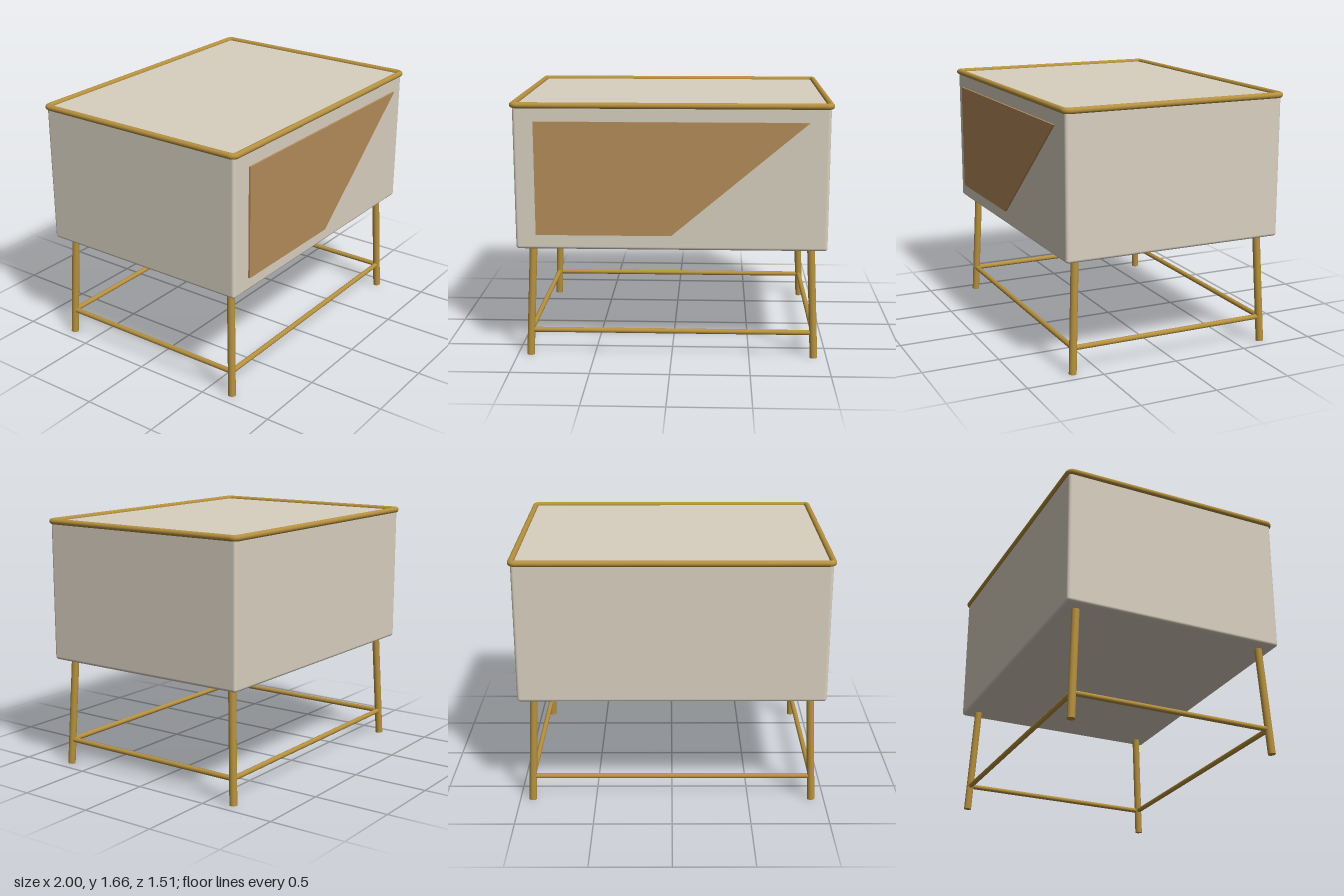
import * as THREE from 'three';
import { RoundedBoxGeometry } from 'three/addons/geometries/RoundedBoxGeometry.js';

const cream = new THREE.MeshStandardMaterial({ color: 0xd8d0c0 });
const brass = new THREE.MeshStandardMaterial({ color: 0xb5903f });
const wood = new THREE.MeshStandardMaterial({ color: 0xb48c5a });

const v = (x, y, z) => new THREE.Vector3(x, y, z);

// Round bar between two points
function bar(name, a, b, r, segments = 24) {
  const dir = b.clone().sub(a);
  const mesh = new THREE.Mesh(new THREE.CylinderGeometry(r, r, dir.length(), segments), brass);
  mesh.name = name;
  mesh.position.copy(a).lerp(b, 0.5);
  mesh.quaternion.setFromUnitVectors(v(0, 1, 0), dir.normalize());
  return mesh;
}

// Rectangular tube ring with bent corners
function topRail(hx, hz, y, r, bend) {
  const rail = new THREE.Group();
  rail.name = 'topRail';
  const x = hx - bend, z = hz - bend;
  for (const s of [-1, 1]) {
    rail.add(bar('longRail', v(-x, y, s * hz), v(x, y, s * hz), r));
    rail.add(bar('shortRail', v(s * hx, y, -z), v(s * hx, y, z), r));
  }
  // Quarter bends, one per corner, turning around the ring
  [[x, z], [-x, z], [-x, -z], [x, -z]].forEach(([cx, cz], i) => {
    const geo = new THREE.TorusGeometry(bend, r, 24, 10, Math.PI / 2);
    geo.rotateX(Math.PI / 2).rotateY(-i * Math.PI / 2);
    const corner = new THREE.Mesh(geo, brass);
    corner.name = 'railCorner';
    corner.position.set(cx, y, cz);
    rail.add(corner);
  });
  return rail;
}

export function createModel() {
  const model = new THREE.Group();
  model.name = 'cabinetOnStand';

  // Cabinet body
  const bottom = 0.725, top = 1.637;
  const body = new THREE.Mesh(new RoundedBoxGeometry(1.962, top - bottom, 1.468, 5, 0.02), cream);
  body.name = 'body';
  body.position.y = (bottom + top) / 2;
  model.add(body);

  // Slanted front panel, standing just off the body
  const outline = new THREE.Shape([
    new THREE.Vector2(-0.85, 0.823), new THREE.Vector2(0, 0.823),
    new THREE.Vector2(0.85, 1.54), new THREE.Vector2(-0.85, 1.54),
  ]);
  const panel = new THREE.Mesh(
    new THREE.ExtrudeGeometry(outline, { depth: 0.012, bevelEnabled: false }), wood);
  panel.name = 'frontPanel';
  panel.position.z = 0.744;
  model.add(panel);

  // Rail around the top edge
  model.add(topRail(0.981, 0.733, 1.638, 0.019, 0.03));

  // Splayed legs
  const legAt = (sx, sz, y) => v(sx * (0.917 - 0.045 * y), y, sz * (0.673 - 0.045 * y));
  for (const sx of [-1, 1]) for (const sz of [-1, 1]) {
    model.add(bar('leg', legAt(sx, sz, 0.001), legAt(sx, sz, 0.74), 0.0245));
  }

  // Stretchers joining the legs
  const h = 0.167;
  for (const s of [-1, 1]) {
    model.add(bar('longStretcher', legAt(-1, s, h), legAt(1, s, h), 0.0165));
    model.add(bar('sideStretcher', legAt(s, -1, h), legAt(s, 1, h), 0.0165));
  }
  return model;
}
